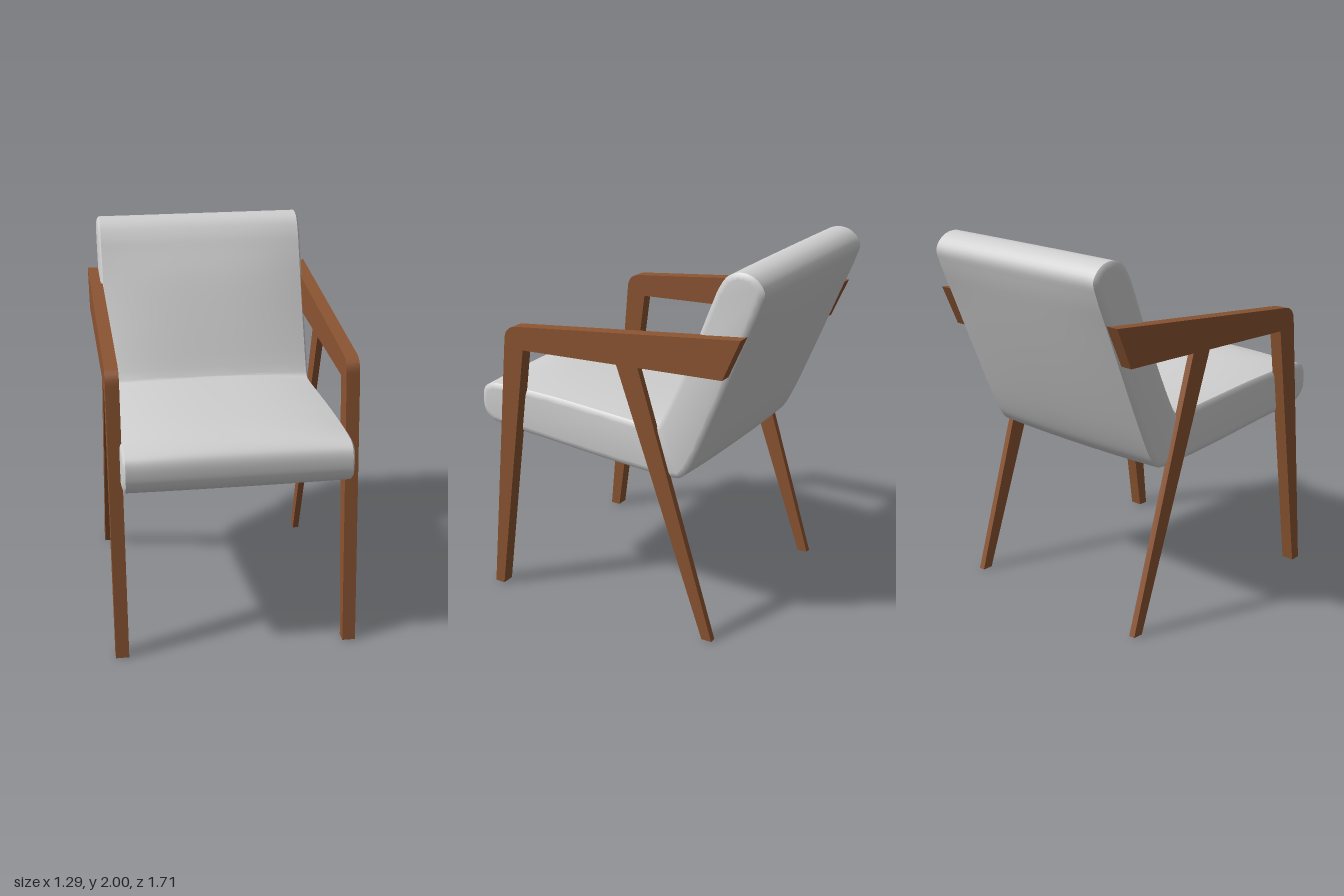
import * as THREE from 'three';
import { toCreasedNormals } from 'three/addons/utils/BufferGeometryUtils.js';

// Closed side profile of the cushion: z, y, and how far it draws in at the sides
const PROFILE = [
  [0.855, 1.07, 0], [0.845, 1.15, 0.005], [0.80, 1.19, 0.015], [0.72, 1.212, 0.03], [0.60, 1.222, 0.04],
  [0.35, 1.212, 0.04], [0, 1.186, 0.04], [-0.23, 1.165, 0.035], [-0.245, 1.163, 0.03], [-0.255, 1.175, 0.03],
  [-0.37, 1.44, 0.04], [-0.48, 1.69, 0.035], [-0.55, 1.825, 0.02], [-0.60, 1.915, 0.01], [-0.655, 1.978, 0.003],
  [-0.725, 2.0, 0], [-0.80, 1.982, 0], [-0.85, 1.92, 0], [-0.835, 1.84, 0.004],
  [-0.77, 1.66, 0.012], [-0.60, 1.236, 0.015], [-0.49, 0.99, 0.012], [-0.44, 0.905, 0.01], [-0.40, 0.868, 0.01],
  [-0.335, 0.858, 0.012], [-0.25, 0.856, 0.015], [0.05, 0.875, 0.015], [0.40, 0.906, 0.015],
  [0.72, 0.942, 0.008], [0.80, 0.965, 0.003], [0.843, 1.01, 0],
];
const HALF = 0.572; // half width of the cushion at its seam

function cushionGeometry() {
  const curve = new THREE.CatmullRomCurve3(PROFILE.map(p => new THREE.Vector3(...p)), true, 'centripetal');
  const n = 124;
  const outline = [];
  for (let j = 0; j < n; j++) {
    const p = curve.getPoint(j / n), t = curve.getTangent(j / n);
    const len = Math.hypot(t.x, t.y);
    outline.push({ z: p.x, y: p.y, inset: p.z, nz: t.y / len, ny: -t.x / len });
  }
  // One ring of points at x, drawn in along the profile normals
  const ring = (x, crown, extra = 0) => outline.map(o => {
    const d = o.inset * crown + extra;
    return new THREE.Vector3(x, o.y - o.ny * d, o.z - o.nz * d);
  });
  const sections = [];
  const steps = 20;
  sections.push(ring(-HALF - 0.014, 1, 0.03), ring(-HALF - 0.009, 1, 0.011));
  for (let i = 0; i <= steps; i++) {
    const s = (i / steps) * 2 - 1;
    sections.push(ring(s * HALF, Math.abs(s) ** 2.5));
  }
  sections.push(ring(HALF + 0.009, 1, 0.011), ring(HALF + 0.014, 1, 0.03));

  const pos = [];
  const tri = (a, b, c) => { for (const v of [a, b, c]) pos.push(v.x, v.y, v.z); };
  for (let i = 0; i + 1 < sections.length; i++) {
    for (let j = 0; j < n; j++) {
      const k = (j + 1) % n, A = sections[i], B = sections[i + 1];
      tri(A[j], B[j], A[k]);
      tri(B[j], B[k], A[k]);
    }
  }
  // Side panels
  for (const side of [-1, 1]) {
    const loop = side < 0 ? sections[0] : sections[sections.length - 1];
    const flat = loop.map(v => new THREE.Vector2(v.z, v.y));
    for (const [a, b, c] of THREE.ShapeUtils.triangulateShape(flat, [])) {
      const ccw = (flat[b].x - flat[a].x) * (flat[c].y - flat[a].y) - (flat[b].y - flat[a].y) * (flat[c].x - flat[a].x) > 0;
      if (ccw === (side < 0)) tri(loop[a], loop[b], loop[c]);
      else tri(loop[a], loop[c], loop[b]);
    }
  }
  const g = new THREE.BufferGeometry();
  g.setAttribute('position', new THREE.Float32BufferAttribute(pos, 3));
  return toCreasedNormals(g, 0.65);
}

// Board cut from a shape drawn in (z, y), spanning x0 to x1
function board(shape, x0, x1) {
  const g = new THREE.ExtrudeGeometry(shape, { depth: x1 - x0, bevelEnabled: false, curveSegments: 8 });
  g.rotateY(-Math.PI / 2);
  g.translate(x1, 0, 0);
  return toCreasedNormals(g, 0.5);
}

export function createModel() {
  const fabric = new THREE.MeshStandardMaterial({ color: 0xd0d0d0 });
  fabric.name = 'light grey fabric';
  const wood = new THREE.MeshStandardMaterial({ color: 0x8b5432 });
  wood.name = 'brown wood';

  const model = new THREE.Group();
  model.name = 'armchair';
  const add = (name, geometry, material) => {
    const mesh = new THREE.Mesh(geometry, material);
    mesh.name = name;
    model.add(mesh);
  };

  add('seatAndBackCushion', cushionGeometry(), fabric);

  // Front leg and armrest in one piece, with a rounded elbow
  const frame = new THREE.Shape();
  frame.moveTo(0.777, 0);
  frame.lineTo(0.634, 1.475);
  frame.quadraticCurveTo(0.628, 1.546, 0.554, 1.554);
  frame.lineTo(-0.767, 1.692);
  frame.lineTo(-0.671, 1.475);
  frame.lineTo(0.517, 1.43);
  frame.lineTo(0.719, 0);
  frame.closePath();

  // Tapered, slanted rear leg, its top tucked into the armrest
  const rear = new THREE.Shape([[-0.554, 0], [-0.613, 0], [-0.167, 1.46], [-0.037, 1.46]]
    .map(p => new THREE.Vector2(...p)));

  for (const [side, s] of [['left', 1], ['right', -1]]) {
    const span = (a, b) => (s > 0 ? [a, b] : [-b, -a]);
    add(side + 'FrontLegAndArmrest', board(frame, ...span(0.575, 0.645)), wood);
    add(side + 'RearLeg', board(rear, ...span(0.577, 0.612)), wood);
  }
  return model;
}
